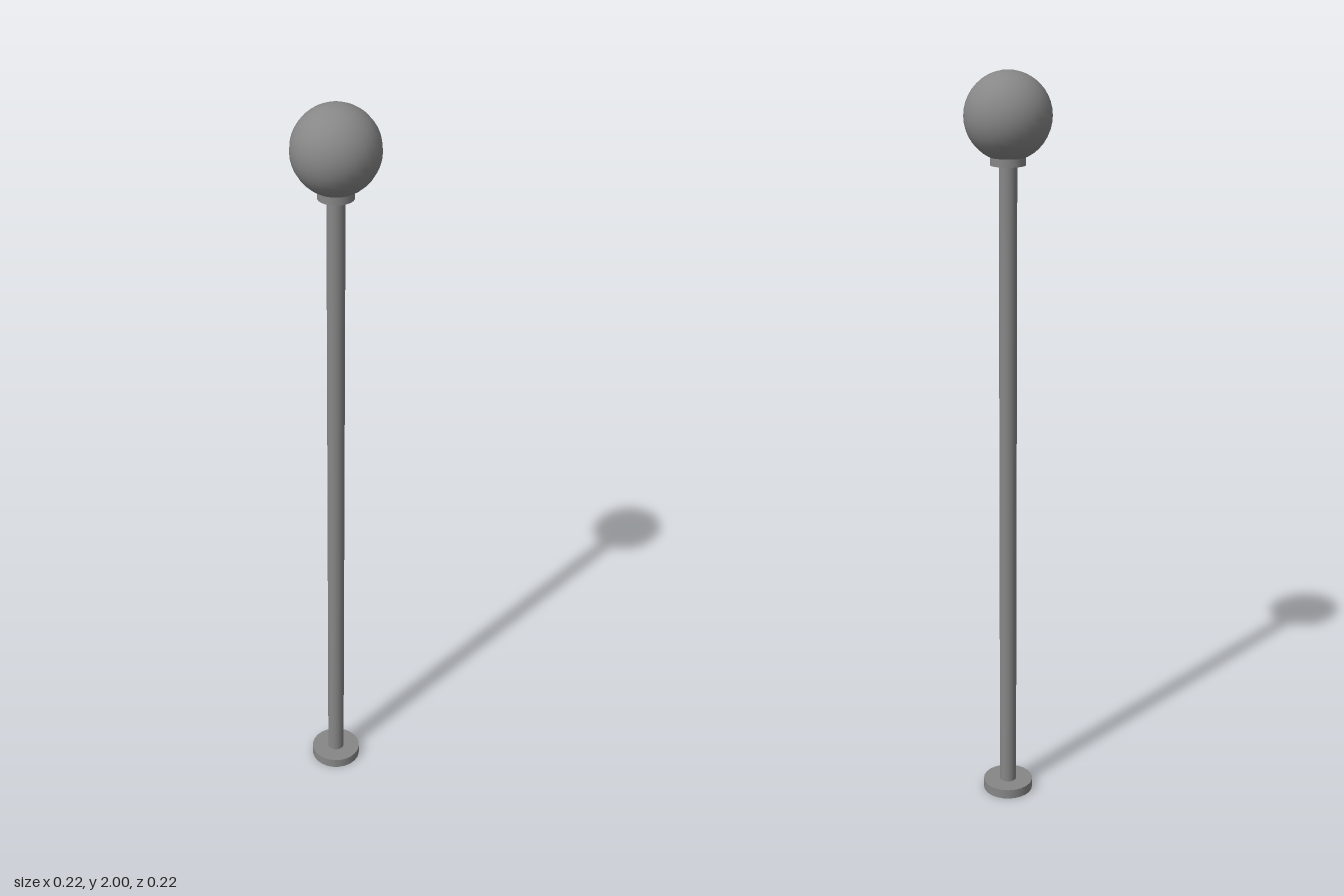
import * as THREE from 'three';

const SEGMENTS = 24;

export function createModel() {
  const group = new THREE.Group();
  const material = new THREE.MeshStandardMaterial({ color: 0x878787 });
  const thin = new THREE.MeshStandardMaterial({ color: 0x878787, side: THREE.DoubleSide });

  function add(name, geometry, y, mat = thin, parent = group) {
    const mesh = new THREE.Mesh(geometry, mat);
    mesh.name = name;
    mesh.position.y = y;
    parent.add(mesh);
  }

  // Shallow cap, open underneath: side wall plus a flat ring around the pole
  function addCap(name, radius, hole, bottom, height) {
    const cap = new THREE.Group();
    cap.name = name;
    cap.position.y = bottom;
    add(name + 'Wall', new THREE.CylinderGeometry(radius, radius, height, SEGMENTS, 1, true), height / 2, thin, cap);
    add(name + 'Top', new THREE.RingGeometry(hole, radius, SEGMENTS).rotateX(-Math.PI / 2), height, thin, cap);
    group.add(cap);
  }

  const poleRadius = 0.023;
  const poleBottom = 0.027;
  const poleTop = 1.79;

  // Foot flange and the collar below the globe
  addCap('base', 0.069, poleRadius, 0, poleBottom);
  addCap('collar', 0.045, poleRadius, 1.77, 0.02);

  // Hollow pole
  const length = poleTop - poleBottom;
  add('pole', new THREE.CylinderGeometry(poleRadius, poleRadius, length, SEGMENTS, 1, true), poleBottom + length / 2);

  // Globe lamp
  add('globe', new THREE.SphereGeometry(0.11, SEGMENTS, 20), 1.89, material);

  return group;
}
